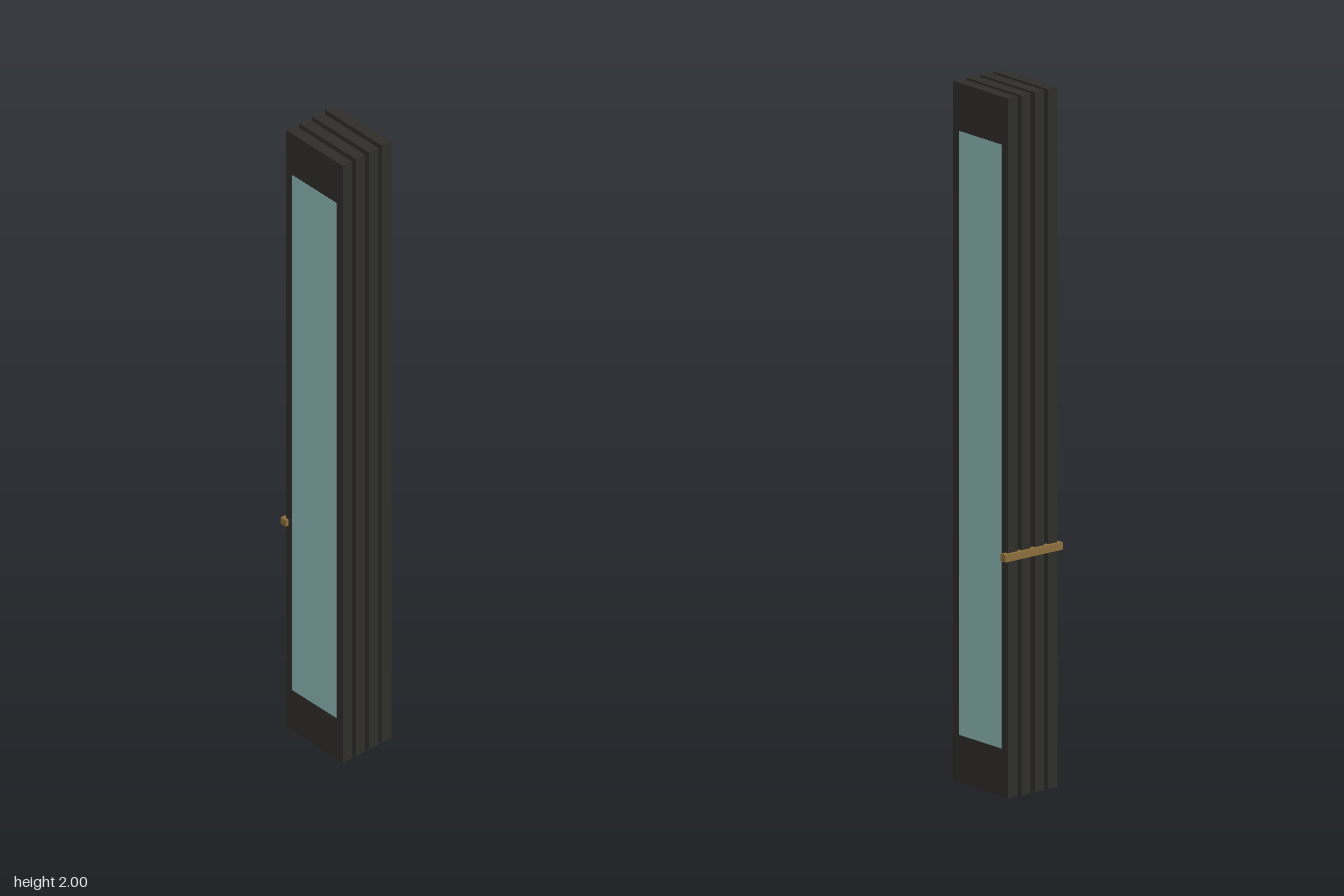
import * as THREE from 'three';

const frameMat = new THREE.MeshStandardMaterial({ color: 0x2e2d2a });
const glassMat = new THREE.MeshStandardMaterial({ color: 0x8cb8b4 });
const brassMat = new THREE.MeshStandardMaterial({ color: 0x8a6d3b });

const HEIGHT = 2, DEPTH = 0.234, THICK = 0.034;
const GLASS_H = 1.725, GLASS_D = 0.18;

function box(name, w, h, d, mat, x, y, z) {
  const mesh = new THREE.Mesh(new THREE.BoxGeometry(w, h, d), mat);
  mesh.name = name;
  mesh.position.set(x, y, z);
  return mesh;
}

// One folded door leaf: two stiles, two rails and a slightly proud glass pane
function createLeaf() {
  const leaf = new THREE.Group();
  leaf.name = 'doorLeaf';
  const stile = (DEPTH - GLASS_D) / 2;
  const rail = (HEIGHT - GLASS_H) / 2;
  for (const s of [-1, 1]) {
    leaf.add(box(s > 0 ? 'frontStile' : 'backStile', THICK, HEIGHT, stile, frameMat,
      0, HEIGHT / 2, s * (DEPTH - stile) / 2));
    leaf.add(box(s > 0 ? 'topRail' : 'bottomRail', THICK, rail, GLASS_D, frameMat,
      0, HEIGHT / 2 + s * (HEIGHT - rail) / 2, 0));
  }
  leaf.add(box('glassPane', THICK + 0.002, GLASS_H, GLASS_D, glassMat, 0, HEIGHT / 2, 0));
  return leaf;
}

export function createModel() {
  const model = new THREE.Group();
  model.name = 'foldedDoor';

  // Four leaves stacked side by side
  for (let i = 0; i < 4; i++) {
    const leaf = createLeaf();
    leaf.position.set(-0.0765 + i * 0.0484, 0, 0.004);
    model.add(leaf);
  }

  // Handle bar across the back edges
  model.add(box('handleBar', 0.206, 0.021, 0.021, brassMat, 0, 0.69, -0.1135));
  return model;
}
